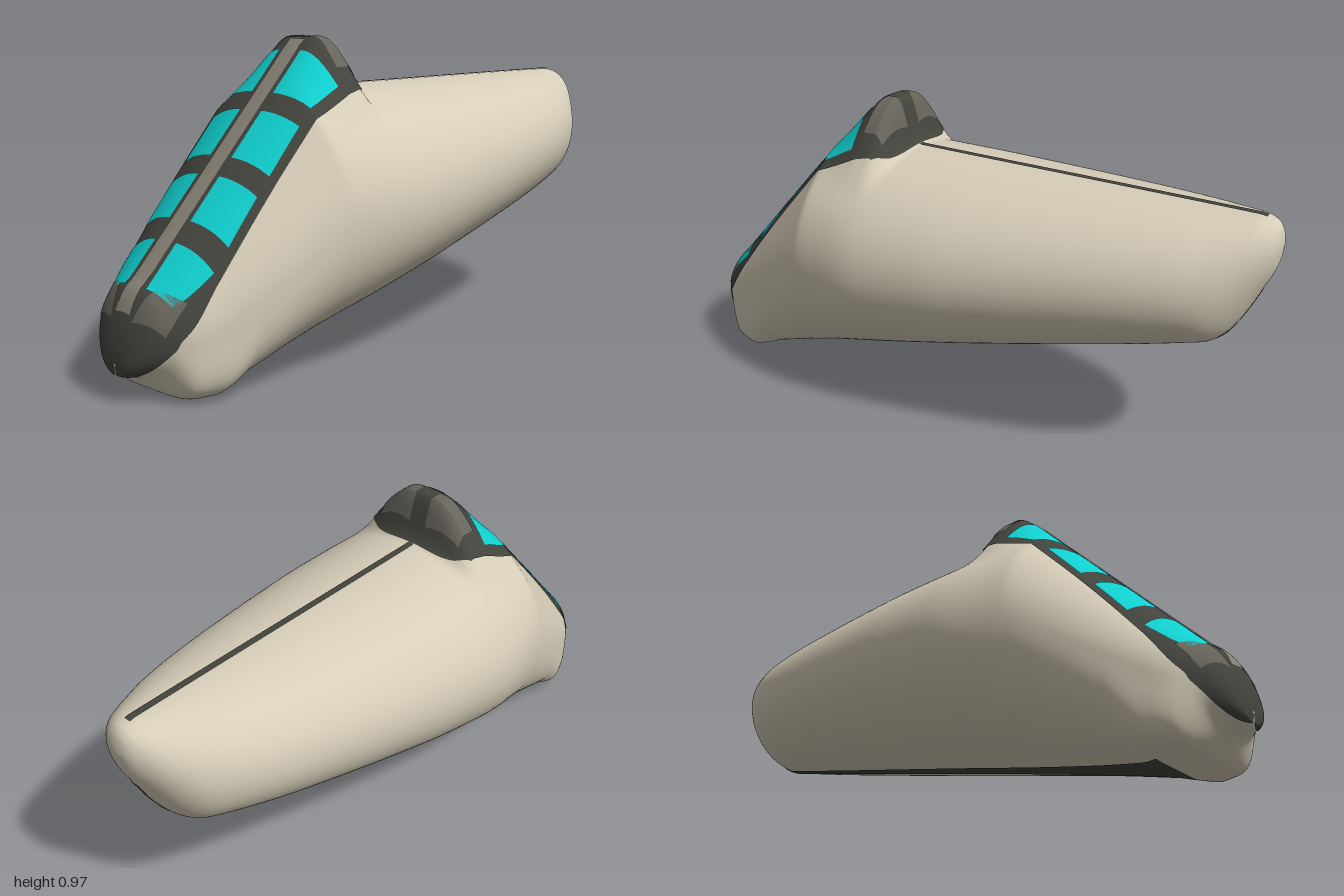
import * as THREE from 'three';

// Smooth monotone curve through [x, value] points
function curve(pts) {
  const d = pts.slice(1).map((p, i) => (p[1] - pts[i][1]) / (p[0] - pts[i][0]));
  const m = pts.map((p, i) => {
    if (i === 0) return d[0];
    if (i === pts.length - 1) return d[i - 1];
    return d[i - 1] * d[i] <= 0 ? 0 : (2 * d[i - 1] * d[i]) / (d[i - 1] + d[i]);
  });
  return (x) => {
    let i = 0;
    while (i < pts.length - 2 && x > pts[i + 1][0]) i++;
    const h = pts[i + 1][0] - pts[i][0];
    const t = THREE.MathUtils.clamp((x - pts[i][0]) / h, 0, 1);
    const t2 = t * t, t3 = t2 * t;
    return (2 * t3 - 3 * t2 + 1) * pts[i][1] + (t3 - 2 * t2 + t) * h * m[i]
      + (3 * t2 - 2 * t3) * pts[i + 1][1] + (t3 - t2) * h * m[i + 1];
  };
}

// Hull lines: roof height, keel height, half width and squareness of the underside
const roof = curve([[-1, 0.105], [-0.997, 0.14], [-0.97, 0.24], [-0.94, 0.295], [-0.91, 0.322], [-0.85, 0.385],
  [-0.4, 0.868], [-0.33, 0.942], [-0.305, 0.962], [-0.265, 0.962], [-0.25, 0.94], [-0.215, 0.835], [-0.195, 0.815],
  [0.93, 0.813], [0.97, 0.803], [0.988, 0.785], [0.997, 0.755], [1, 0.73]]);
const keel = curve([[-1, 0.105], [-0.997, 0.08], [-0.94, 0.06], [-0.87, 0.004], [-0.85, 0], [-0.8, 0], [-0.76, 0.009],
  [0, 0.2], [0.77, 0.392], [0.83, 0.408], [0.87, 0.44], [0.96, 0.6], [0.99, 0.67], [1, 0.73]]);
const halfWidth = curve([[-1, 0], [-0.997, 0.045], [-0.97, 0.108], [-0.93, 0.155], [-0.87, 0.205], [-0.8, 0.238],
  [-0.6, 0.312], [-0.4, 0.368], [-0.2, 0.397], [0, 0.387], [0.2, 0.36], [0.4, 0.325], [0.6, 0.283], [0.75, 0.238],
  [0.85, 0.19], [0.93, 0.126], [0.98, 0.066], [0.996, 0.03], [1, 0]]);
const squareness = curve([[-1, 2], [-0.93, 2.2], [-0.87, 4.5], [-0.8, 4.5], [-0.7, 2.8], [-0.5, 2.2], [-0.2, 2], [1, 2]]);

// Point on the hull at station x; angle runs from 0 at the roof to +-PI at the keel
function hullPoint(x, angle, lift = 0) {
  const top = roof(x), low = keel(x), w = halfWidth(x);
  const shoulder = Math.min(top, 0.815), mid = (shoulder + low) / 2;
  const s = Math.sin(angle), c = Math.cos(angle);
  let y, z;
  if (c >= 0) {
    z = w * s;
    const peak = 1 - THREE.MathUtils.smoothstep(Math.abs(z), 0.05, 0.29);
    y = mid + (shoulder - mid) * c + (top - shoulder) * peak;
  } else {
    const e = 2 / squareness(x);
    z = w * Math.sign(s) * Math.abs(s) ** e;
    y = mid - (mid - low) * Math.abs(c) ** e;
  }
  return [x, y + lift * c, z + lift * s];
}

// Grid surface following the hull; at(u, v) gives [x, angle]
function skin(name, material, nu, nv, at, lift = 0) {
  const pos = [], index = [];
  for (let i = 0; i <= nu; i++) {
    for (let j = 0; j <= nv; j++) {
      const [x, angle] = at(i / nu, j / nv);
      pos.push(...hullPoint(x, angle, lift));
      if (i < nu && j < nv) {
        const a = i * (nv + 1) + j, c = a + nv + 1;
        index.push(a, a + 1, c, a + 1, c + 1, c);
      }
    }
  }
  const g = new THREE.BufferGeometry();
  g.setAttribute('position', new THREE.Float32BufferAttribute(pos, 3));
  g.setIndex(index);
  g.computeVertexNormals();
  const mesh = new THREE.Mesh(g, material);
  mesh.name = name;
  return mesh;
}

const mat = (name, color) => {
  const m = new THREE.MeshStandardMaterial({ color, side: THREE.DoubleSide });
  m.name = name;
  return m;
};

export function createModel() {
  const cream = mat('cream hull', 0xd6cdb8);
  const dark = mat('dark frame', 0x44443e);
  const grey = mat('grey panel', 0x67645b);
  const cyan = mat('cyan glass', 0x10d0d0);
  const taupe = mat('taupe spine', 0x8a8477);
  const model = new THREE.Group();
  model.name = 'pod';
  const lerp = THREE.MathUtils.lerp;
  // Angle on the roof that lies z away from the centre line
  const angleAt = (x, z, limit = 0.72) => Math.asin(Math.min(z / Math.max(halfWidth(x), 1e-4), limit));

  // Hull
  model.add(skin('hull', cream, 260, 120, (u, v) => [-Math.cos(Math.PI * u), lerp(-Math.PI, Math.PI, v)]));

  // Canopy frame, wrapping round the nose and over the hump
  const frameEdge = curve([[-1, 3.1], [-0.96, 2.3], [-0.93, 1.8], [-0.9, 1.45], [-0.8, 1.02], [-0.6, 0.74],
    [-0.4, 0.62], [-0.3, 0.56], [-0.2, 0.5]]);
  model.add(skin('canopyFrame', dark, 140, 60, (u, v) => {
    const k = 2 * v - 1;
    const x = lerp(-1, -0.2 - 0.05 * k ** 4, u ** 1.5);
    return [x, k * frameEdge(x)];
  }, 0.004));

  // Mirrored panels: front x, rear x, inner z, outer z
  const windows = [[-0.925, -0.82], [-0.77, -0.665], [-0.62, -0.505], [-0.46, -0.35]];
  for (const side of [-1, 1]) {
    const label = side > 0 ? 'left' : 'right';
    const panel = (name, material, x0, x1, inner, outer, slant) => model.add(
      skin(name, material, 24, 16, (u, v) => {
        const k = side > 0 ? v : 1 - v;
        const x = lerp(x0, x1, u) + slant * k;
        return [x, side * lerp(inner(x), outer(x), k)];
      }, 0.007));
    windows.forEach(([x0, x1], i) => panel(`${label}Window${i + 1}`, cyan, x0, x1,
      (x) => angleAt(x, 0.045), (x) => angleAt(x, 0.185, 0.78), 0.015));
    // Grey cheeks at the nose and behind the canopy
    panel(`${label}NosePanel`, grey, -0.975, -0.915, (x) => 0.45, (x) => frameEdge(x) * 0.72, 0.035);
    panel(`${label}HumpPanel`, grey, -0.3, -0.228, (x) => angleAt(x, 0.03), (x) => angleAt(x, 0.155), -0.01);
  }

  // Spine over the canopy, seam along the deck, strip along the keel
  const strip = (name, material, x0, x1, w0, w1, centre, lift) => model.add(
    skin(name, material, 120, 6, (u, v) => {
      const x = lerp(x0, x1, u);
      return [x, centre + (2 * v - 1) * angleAt(x, lerp(w0, w1, u))];
    }, lift));
  strip('canopySpine', taupe, -0.97, -0.32, 0.03, 0.03, 0, 0.008);
  strip('deckSeam', dark, -0.2, 0.95, 0.011, 0.011, 0, 0.003);
  strip('keelStrip', dark, -0.76, 0.96, 0.045, 0.015, Math.PI, 0.004);
  return model;
}
